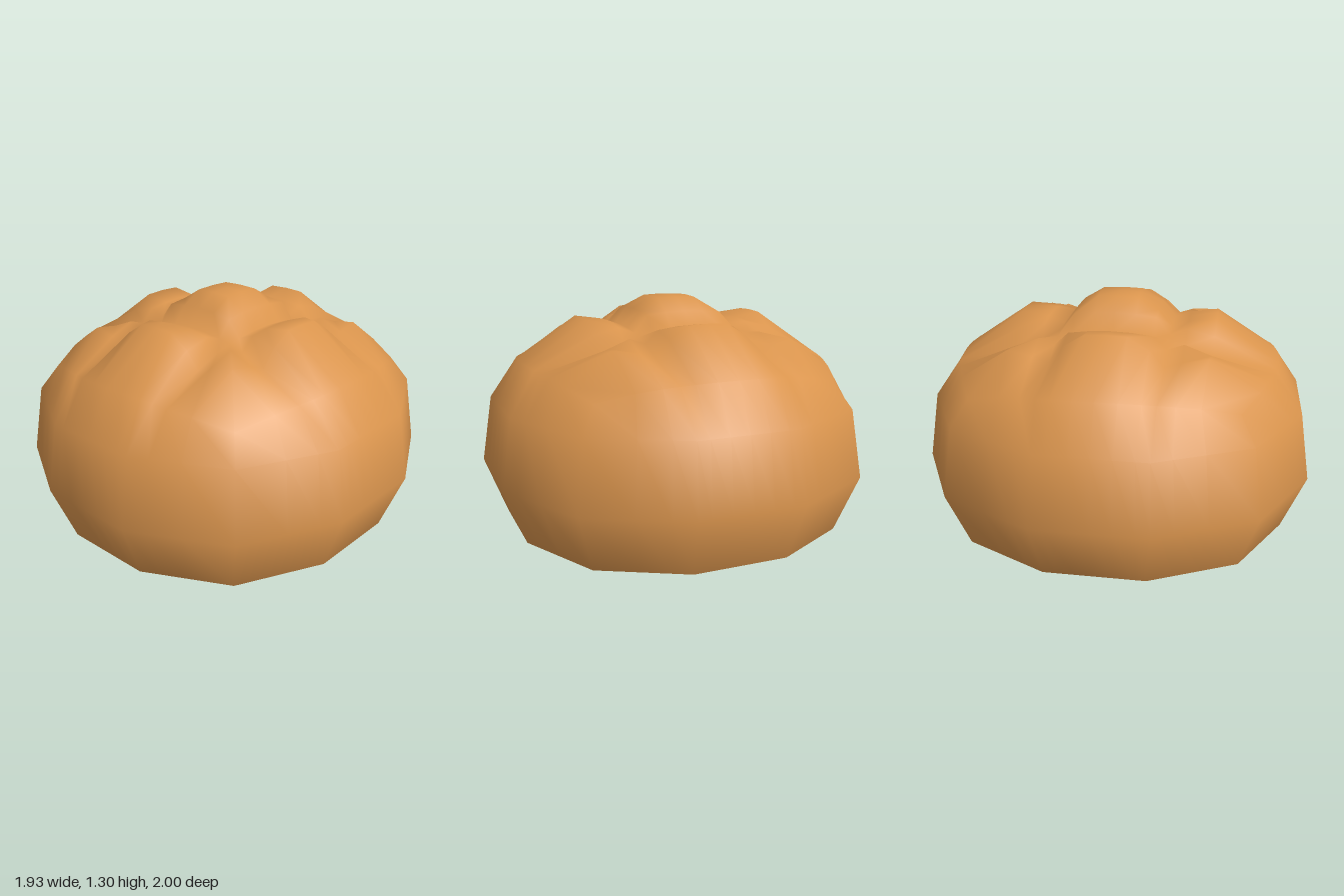
import * as THREE from 'three';

const crust = new THREE.MeshStandardMaterial({ color: 0xd9944d });
crust.name = 'baked crust';

// grid lines of the scored top; the third from the centre runs along a groove
const half = [0.1, 0.2, 0.265, 0.34, 0.45, 0.62];
const lines = [...half.map(v => -v).reverse(), 0, ...half];
const N = lines.length, EDGE = 0.62, STRETCH = 1.035;

// depth of a groove at distance u from the centre, by linear steps
const steps = [[0, 0], [0.1, 0], [0.2, 0.05], [0.265, 0.12], [0.34, 0.07], [0.45, 0], [1, 0]];
function grooveDepth(u, along) {
  u = Math.abs(u);
  const k = steps.findIndex(s => s[0] > u + 1e-6);
  const [a, b] = [steps[k - 1], steps[k]];
  const depth = a[1] + (b[1] - a[1]) * (u - a[0]) / (b[0] - a[0]);
  const fade = THREE.MathUtils.clamp((EDGE - Math.abs(along)) / 0.17, 0, 1);
  return depth * fade;
}

// point on the scored dome
function topPoint(u, v) {
  const bulge = (a, b) => a * (1 + 0.28 * (1 - (b / EDGE) ** 2) * (a / EDGE) ** 4);
  const x = bulge(u, v), z = bulge(v, u), r2 = x * x + z * z;
  const y = 1.3 - 0.37 * r2 - 0.2 * r2 * r2 - Math.max(grooveDepth(u, v), grooveDepth(v, u));
  return [x, y, z * STRETCH];
}

// twelve-sided outline of the loaf, for a point on the rim of the grid
function outline(u, v) {
  const side = (s, t) => {
    const a = Math.abs(t), k = Math.max(0, (a - 0.265) / (EDGE - 0.265));
    const across = a <= 0.265 ? a * 1.02 : 0.27 + 0.46 * k;
    return [Math.sign(s) * (0.965 - 0.235 * k), Math.sign(t) * across];
  };
  if (Math.abs(u) >= EDGE) return side(u, v);
  const [z, x] = side(v, u);
  return [x, z];
}

function loafGeometry() {
  const pos = [], index = [];
  const at = (i, j) => i * N + j;

  // scored top
  for (const u of lines) for (const v of lines) pos.push(...topPoint(u, v));
  for (let i = 0; i < N - 1; i++) for (let j = 0; j < N - 1; j++) {
    const a = at(i, j), b = at(i, j + 1), c = at(i + 1, j + 1), d = at(i + 1, j);
    index.push(a, b, c, a, c, d);
  }

  // rim of the top, in order
  const rim = [], M = N - 1;
  for (let k = 0; k < M; k++) rim.push([0, k]);
  for (let k = 0; k < M; k++) rim.push([k, M]);
  for (let k = 0; k < M; k++) rim.push([M, M - k]);
  for (let k = 0; k < M; k++) rim.push([M - k, 0]);

  // rounded sides and underside: height and scale of each ring
  let upper = rim.map(([i, j]) => at(i, j));
  const firstSide = pos.length / 3;
  for (const [y, s] of [[0.77, 0.945], [0.425, 1], [0.13, 0.885], [0, 0.31]]) {
    const lower = rim.map(([i, j]) => {
      const [x, z] = outline(lines[i], lines[j]);
      pos.push(x * s, y, z * s * STRETCH);
      return pos.length / 3 - 1;
    });
    lower.forEach((p, k) => {
      const n = (k + 1) % lower.length;
      index.push(upper[k], p, lower[n], upper[k], lower[n], upper[n]);
    });
    upper = lower;
  }
  pos.push(0, 0, 0);
  const centre = pos.length / 3 - 1;
  upper.forEach((p, k) => index.push(p, centre, upper[(k + 1) % upper.length]));

  const g = new THREE.BufferGeometry();
  g.setAttribute('position', new THREE.Float32BufferAttribute(pos, 3));
  g.setIndex(index);
  g.computeVertexNormals();

  // round shading around the sides, across the flat facets
  const n = new THREE.Vector3();
  for (let i = firstSide; i <= centre; i++) {
    n.fromArray(pos, i * 3);
    n.y = (n.y - 0.42) * 1.4;
    n.normalize();
    g.attributes.normal.setXYZ(i, n.x, n.y, n.z);
  }
  return g;
}

export function createModel() {
  const group = new THREE.Group();
  group.name = 'breadRoll';
  const loaf = new THREE.Mesh(loafGeometry(), crust);
  loaf.name = 'scoredLoaf';
  group.add(loaf);
  return group;
}
